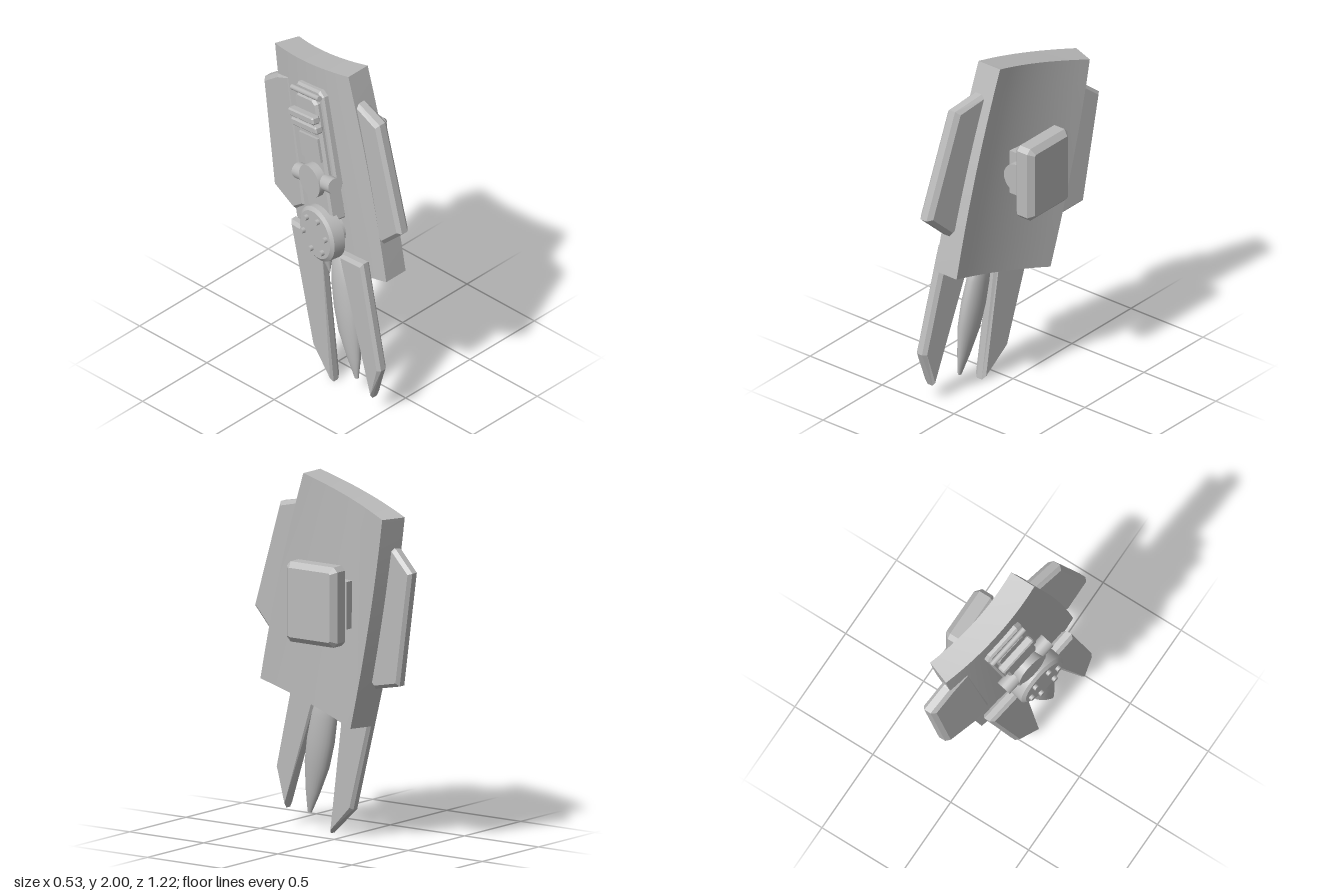
import * as THREE from 'three';

export function createModel() {
  const model = new THREE.Group();
  const grey = new THREE.MeshStandardMaterial({ color: 0xbababa });

  const add = (name, geometry, parent = model, pos = [0, 0, 0], rot = [0, 0, 0]) => {
    const mesh = new THREE.Mesh(geometry, grey);
    mesh.name = name;
    mesh.position.set(...pos);
    mesh.rotation.set(...rot);
    parent.add(mesh);
    return mesh;
  };

  // Bevelled slab from a [z, y] outline, centred on the plane x = x0 + slope * z
  const slab = (outline, thick, bevel, x0 = 0, slope = 0) => {
    const shape = new THREE.Shape(outline.map(([z, y]) => new THREE.Vector2(-z, y)));
    const g = new THREE.ExtrudeGeometry(shape, {
      depth: thick - 2 * bevel, bevelThickness: bevel, bevelSize: bevel,
      bevelOffset: -bevel, bevelSegments: 1,
    });
    g.translate(0, 0, bevel - thick / 2).rotateY(Math.PI / 2);
    const p = g.attributes.position;
    for (let i = 0; i < p.count; i++) p.setX(i, p.getX(i) + x0 + slope * p.getZ(i));
    g.computeVertexNormals();
    return g;
  };

  // Rectangle with cut corners, as a [z, y] outline
  const cutRect = (w, h, c) => {
    const a = w / 2, b = h / 2;
    return [[a, b - c], [a - c, b], [c - a, b], [-a, b - c],
      [-a, c - b], [c - a, -b], [a - c, -b], [a, c - b]];
  };

  // Curved main plate: a box bent between its front and back edge curves
  const v = (x, y, z) => new THREE.Vector3(x, y, z);
  const frontEdge = new THREE.QuadraticBezierCurve3(v(-0.1, 2, 0.17), v(-0.125, 1.42, 0.37), v(-0.14, 0.83, 0.49));
  const backEdge = new THREE.QuadraticBezierCurve3(v(0.03, 1.835, -0.5), v(0.01, 1.3, -0.42), v(-0.03, 0.65, -0.24));
  const plate = new THREE.BoxGeometry(1, 1, 1, 1, 8, 12);
  const pos = plate.attributes.position;
  for (let i = 0; i < pos.count; i++) {
    const n = pos.getX(i) + 0.5, t = 0.5 - pos.getY(i), s = 0.5 - pos.getZ(i);
    const f = frontEdge.getPoint(t), b = backEdge.getPoint(t);
    pos.setXYZ(i,
      f.x + (b.x - f.x) * s * s + n * (0.15 - 0.015 * s),
      f.y + (b.y - f.y) * s,
      f.z + (b.z - f.z) * s + 0.05 * s * n);
  }
  plate.computeVertexNormals();
  add('mainPlate', plate);

  // Side fins
  add('frontFin', slab([[0.2, 1.845], [0.41, 1.8], [0.61, 1.2], [0.45, 1.05], [0.3, 1.15]], 0.085, 0.022, -0.015, -0.175));
  add('backFin', slab([[-0.35, 1.72], [-0.47, 1.66], [-0.605, 1.55], [-0.5, 0.915], [-0.3, 0.87], [-0.2, 0.95]], 0.08, 0.02, -0.07, -0.25));

  // Hanging blades and the spindle between them
  add('frontBlade', slab([[0.17, 0.88], [0.38, 0.925], [0.535, 0.31], [0.46, 0.095]], 0.07, 0.018, -0.12, -0.17));
  add('backBlade', slab([[-0.26, 0.86], [0, 0.89], [0.115, 0.005], [-0.06, 0.16]], 0.07, 0.018, -0.12, -0.17));
  const spindle = new THREE.LatheGeometry(
    [[0, 0], [0.013, 0], [0.045, 0.12], [0.078, 0.28], [0.086, 0.42], [0.08, 0.56], [0.06, 0.7], [0, 0.76]]
      .map(([r, y]) => new THREE.Vector2(r, y)), 24);
  spindle.scale(0.62, 1, 1);
  add('spindle', spindle, model, [-0.145, 0.1, 0.275], [-0.22, 0, -0.05]);

  // Block on the inner side with its mount
  const block = slab(cutRect(0.34, 0.44, 0.025), 0.13, 0.03);
  add('innerBlock', block, model, [0.187, 1.33, -0.02]);
  add('blockMount', new THREE.BoxGeometry(0.12, 0.26, 0.27), model, [0.08, 1.33, -0.055]);
  add('mountPivot', new THREE.CylinderGeometry(0.085, 0.085, 0.3, 24), model, [0.12, 1.33, -0.03], [Math.PI / 2, 0, 0]);

  // Mechanism on the outer side: local -x points outward, +y runs up the plate
  const mech = new THREE.Group();
  mech.name = 'outerMechanism';
  mech.position.set(-0.1, 0.98, 0.08);
  mech.rotation.set(-0.245, -0.19, 0, 'YXZ');
  model.add(mech);
  const side = [0, 0, Math.PI / 2];

  add('basePanel', slab(cutRect(0.27, 0.58, 0.03), 0.07, 0.012), mech, [-0.01, 0.55, 0]);
  add('raisedPanel', slab(cutRect(0.21, 0.52, 0.03), 0.05, 0.015), mech, [-0.05, 0.54, 0]);
  add('panelStep', new THREE.BoxGeometry(0.02, 0.14, 0.18), mech, [-0.08, 0.5, 0]);
  for (const [h, o] of [[0.69, 0.095], [0.63, 0.085]]) {
    add('crossBar', slab(cutRect(0.24, 0.045, 0.008), 0.05, 0.008), mech, [-o, h, 0]);
  }
  add('topRod', new THREE.CylinderGeometry(0.016, 0.016, 0.26, 12), mech, [-0.06, 0.81, 0], [Math.PI / 2, 0, 0]);
  add('hingeRod', new THREE.CylinderGeometry(0.045, 0.045, 0.35, 20), mech, [-0.075, 0.31, 0], [Math.PI / 2, 0, 0]);
  add('hingeBoss', new THREE.CylinderGeometry(0.095, 0.095, 0.12, 28), mech, [-0.065, 0.31, 0], side);
  add('lowerBox', slab(cutRect(0.22, 0.2, 0.01), 0.1, 0.012), mech, [-0.04, 0.18, 0]);

  // Round disc with six bolts and a small pointed tail
  const disc = new THREE.CylinderGeometry(0.16, 0.16, 0.07, 36);
  add('disc', disc, mech, [-0.09, 0, 0], side);
  add('discRim', new THREE.CylinderGeometry(0.14, 0.16, 0.015, 36), mech, [-0.1325, 0, 0], side);
  add('discHub', new THREE.CylinderGeometry(0.09, 0.09, 0.07, 24), mech, [-0.03, 0, 0], side);
  for (let i = 0; i < 6; i++) {
    const a = (i + 0.5) * Math.PI / 3;
    add('bolt', new THREE.CylinderGeometry(0.016, 0.016, 0.03, 10), mech,
      [-0.145, 0.105 * Math.cos(a), 0.105 * Math.sin(a)], side);
  }
  add('discTail', new THREE.ConeGeometry(0.035, 0.12, 12), mech, [-0.085, -0.19, 0], [Math.PI, 0, 0]);

  return model;
}
